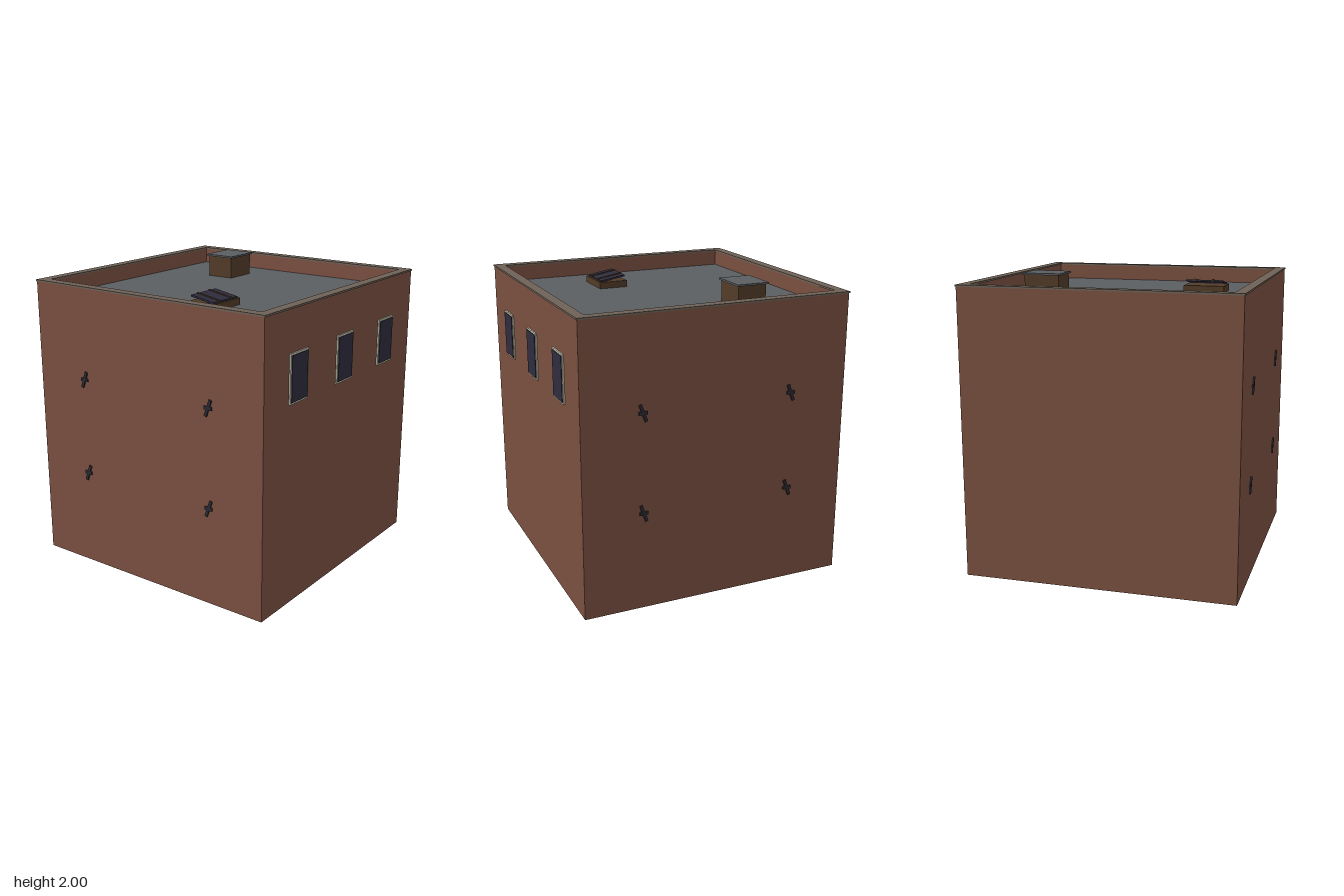
import * as THREE from 'three';

const mat = (name, color) => {
  const m = new THREE.MeshStandardMaterial({ color });
  m.name = name;
  return m;
};

export function createModel() {
  const brick = mat('brick', 0x7a5040);
  const coping = mat('copingStone', 0x6e6257);
  const roofing = mat('roofing', 0x5b5f62);
  const glass = mat('glass', 0x2f2d3d);
  const trim = mat('windowTrim', 0xc6c6b2);
  const wood = mat('wood', 0x523c28);
  const iron = mat('iron', 0x2a2a33);

  const model = new THREE.Group();
  model.name = 'brickBuilding';

  const group = (name, parent = model) => {
    const g = new THREE.Group();
    g.name = name;
    parent.add(g);
    return g;
  };
  const box = (name, material, w, h, d, x, y, z, parent = model) => {
    const mesh = new THREE.Mesh(new THREE.BoxGeometry(w, h, d), material);
    mesh.name = name;
    mesh.position.set(x, y, z);
    parent.add(mesh);
    return mesh;
  };
  // Rectangular ring extruded along +z
  const ring = (name, material, w, h, iw, ih, depth, parent = model) => {
    const rect = (Type, a, b) => new Type([[-a, -b], [a, -b], [a, b], [-a, b]]
      .map(([x, y]) => new THREE.Vector2(x / 2, y / 2)));
    const shape = rect(THREE.Shape, w, h);
    shape.holes.push(rect(THREE.Path, iw, ih));
    const geo = new THREE.ExtrudeGeometry(shape, { depth, bevelEnabled: false });
    const mesh = new THREE.Mesh(geo, material);
    mesh.name = name;
    parent.add(mesh);
    return mesh;
  };

  const cz = -0.005;    // middle of the walls
  const roofY = 1.84;

  // Outer walls rising into a parapet, floor, roof deck and coping
  const walls = ring('walls', brick, 1.84, 1.84, 1.72, 1.72, 1.946);
  walls.rotation.x = -Math.PI / 2;
  walls.position.z = cz;
  box('floor', brick, 1.72, 0.02, 1.72, 0, 0.01, cz);
  box('roofDeck', roofing, 1.72, 0.04, 1.72, 0, roofY - 0.02, cz);
  const cap = ring('parapetCoping', coping, 1.85, 1.85, 1.71, 1.71, 0.012);
  cap.rotation.x = -Math.PI / 2;
  cap.position.set(0, 1.945, cz);

  // Three upper windows on the front
  for (const x of [-0.553, 0, 0.553]) {
    const win = group('frontWindow');
    win.position.set(x, 1.515, 0.915);
    ring('windowFrame', trim, 0.2, 0.32, 0.176, 0.296, 0.01, win);
    box('windowPane', glass, 0.176, 0.296, 0.014, 0, 0, 0.008, win);
  }

  // Iron wall anchors on both sides: a leaning bar with a short crossbar
  for (const side of [-1, 1]) {
    for (const z of [-0.52, 0.51]) {
      for (const y of [0.667, 1.33]) {
        const anchor = group('wallAnchor');
        anchor.position.set(side * 0.924, y, z);
        const bar = box('anchorBar', iron, 0.012, 0.115, 0.02, 0, 0, 0, anchor);
        bar.rotation.x = 0.35;
        box('anchorCrossbar', iron, 0.01, 0.022, 0.058, 0, 0, 0, anchor);
      }
    }
  }

  // Roof hatch with an overhanging lid
  const hatch = group('roofHatch');
  hatch.position.set(0.513, roofY, -0.378);
  box('hatchBox', wood, 0.24, 0.148, 0.2, 0, 0.074, 0, hatch);
  box('hatchLid', roofing, 0.264, 0.012, 0.226, 0, 0.154, 0, hatch);

  // Skylight: low curb with a tilted, barred pane
  const skylight = group('skylight');
  skylight.position.set(-0.461, roofY, 0.213);
  box('skylightCurb', wood, 0.284, 0.045, 0.204, 0, 0.0225, 0, skylight);
  const sash = group('skylightSash', skylight);
  sash.position.y = 0.064;
  sash.rotation.x = 0.17;
  box('skylightPane', glass, 0.256, 0.012, 0.18, 0, 0, 0, sash);
  for (const x of [-0.062, 0.062]) {
    box('glazingBar', wood, 0.012, 0.018, 0.182, x, 0.003, 0, sash);
  }

  return model;
}
